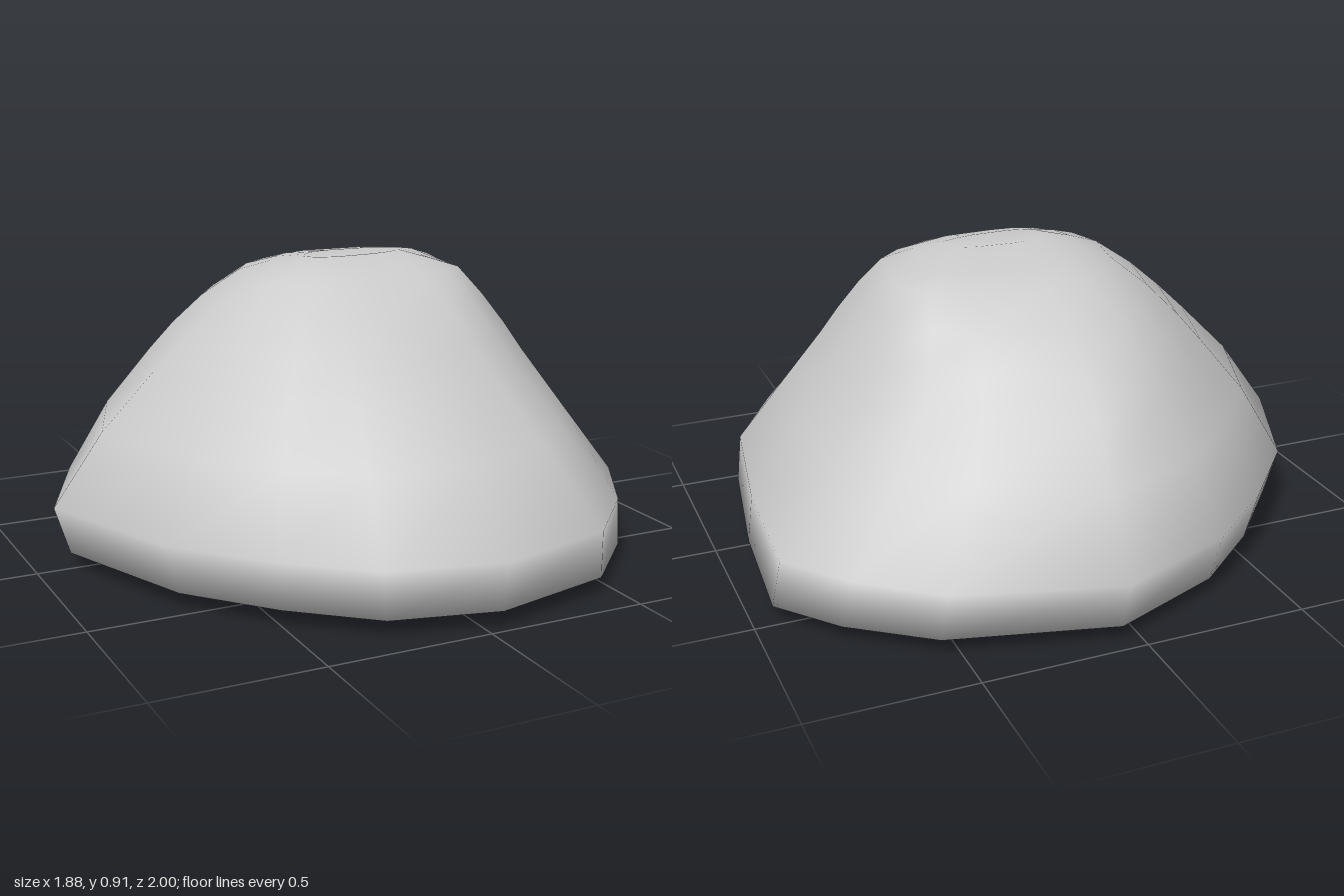
import * as THREE from 'three';

// Widest outline of the boulder as [x, z], clockwise seen from above, starting at -x
const outline = [
  [-0.94, 0], [-0.77, -0.4], [-0.55, -0.65], [-0.31, -0.85],
  [0.06, -1], [0.55, -0.87], [0.78, -0.69], [0.93, -0.5],
  [0.9, -0.07], [0.83, 0.38], [0.66, 0.67], [0.44, 0.9],
  [0.05, 1], [-0.29, 0.92], [-0.53, 0.72], [-0.75, 0.47],
];

// Horizontal sections: height, outline scale towards -x, +x, +z, -z,
// hollow in the left flanks, extra fullness on the diagonals
const sections = [
  [0.0, 0.51, 0.62, 0.57, 0.57, 0, 0],
  [0.05, 0.95, 1.01, 0.98, 0.96, 0, 0],
  [0.2, 1, 0.99, 1, 1, 0.01, 0],
  [0.42, 0.83, 0.82, 0.8, 0.87, 0.12, 0.02],
  [0.59, 0.65, 0.69, 0.6, 0.75, 0.18, 0.04],
  [0.68, 0.55, 0.62, 0.49, 0.66, 0.18, 0.06],
  [0.77, 0.44, 0.54, 0.37, 0.54, 0.14, 0.08],
  [0.855, 0.31, 0.45, 0.22, 0.36, 0.06, 0.12],
  [0.885, 0.21, 0.35, 0.15, 0.25, 0, 0.1],
  [0.91, 0.11, 0.25, 0.05, 0.08, 0, 0.05],
];

// How strongly the hollow acts on each outline point: back left, then front left
const hollowWeight = { 4: 0.1, 5: 0.9, 6: 1, 7: 0.65, 9: 0.2, 10: 0.4, 11: 0.4 };

function boulderGeometry() {
  const n = outline.length;
  const positions = [];
  const index = [];
  for (const [y, left, right, front, back, hollow, full] of sections) {
    outline.forEach(([x, z], i) => {
      const diagonal = Math.abs(Math.sin(2 * Math.atan2(z, x)));
      const k = 1 - hollow * (hollowWeight[i] ?? 0) + full * diagonal;
      positions.push(x * (x < 0 ? left : right) * k, y, z * (z < 0 ? back : front) * k);
    });
  }
  // Middle of the underside and the slightly dipped summit
  const bottom = positions.length / 3;
  const top = bottom + 1;
  positions.push(0.03, 0, 0, 0.05, 0.9, -0.02);

  const last = (sections.length - 1) * n;
  for (let i = 0; i < n; i++) {
    const j = (i + 1) % n;
    for (let base = 0; base < last; base += n) {
      const a = base + i, b = base + j, c = a + n, d = b + n;
      index.push(a, c, b, b, c, d);
    }
    index.push(bottom, i, j, last + i, top, last + j);
  }

  const geometry = new THREE.BufferGeometry();
  geometry.setAttribute('position', new THREE.Float32BufferAttribute(positions, 3));
  geometry.setIndex(index);
  geometry.computeVertexNormals();
  return geometry;
}

export function createModel() {
  const group = new THREE.Group();
  group.name = 'rock';
  const boulder = new THREE.Mesh(
    boulderGeometry(),
    new THREE.MeshStandardMaterial({ color: 0xcccccc }),
  );
  boulder.name = 'boulder';
  group.add(boulder);
  return group;
}
